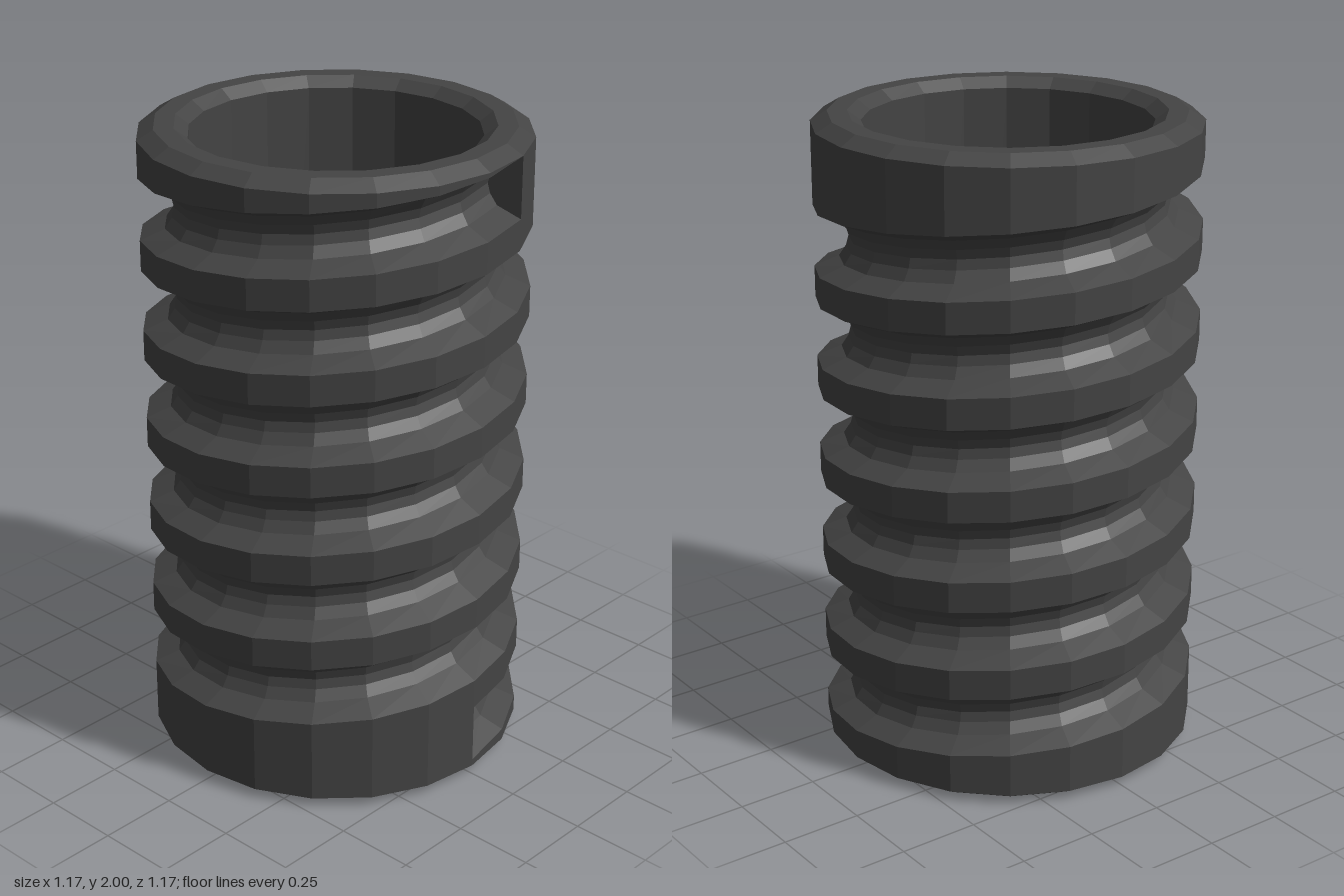
import * as THREE from 'three';

const SIDES = 20, PITCH = 2 / 7, TURNS = 6;
const R = 0.585;
const START = Math.PI / 2;      // angle where the groove begins, measured from the front
const START_Y = 0.147;          // groove centre height at its beginning
// groove cross-section: [radius, height offset], bottom to top
const HALF = [[R, 0.095], [0.51, 0.063], [0.488, 0.03]];
const GROOVE = [...HALF.map(([r, h]) => [r, -h]), [0.48, 0], ...HALF.slice().reverse()];

const point = (step, [r, y]) => {
  const t = START + (step / SIDES) * Math.PI * 2;
  return [r * Math.sin(t), y, r * Math.cos(t)];
};

// groove section on turn k at an angular step
const grooveAt = (k, step) =>
  GROOVE.map(([r, h]) => [r, START_Y + PITCH * (k + step / SIDES) + h]);

// closed wall section: bottom chamfers, threaded outside, top chamfers, bore
function wallSection(step, grooveCount) {
  const section = [[0.435, 0.03], [0.475, 0], [0.535, 0], [R, 0.03]];
  for (let k = 0; k < grooveCount; k++) section.push(...grooveAt(k, step));
  section.push([R, 1.97], [0.535, 2], [0.475, 2], [0.435, 1.97]);
  return section;
}

function threadedSleeveGeometry() {
  const pos = [];
  const tri = (a, b, c) => pos.push(...a, ...b, ...c);

  // one strip per side; the first side carries the run-out of the groove
  for (let j = 0; j < SIDES; j++) {
    const count = j === 0 ? TURNS + 1 : TURNS;
    const near = wallSection(j, count).map((p) => point(j, p));
    const far = wallSection(j + 1, count).map((p) => point(j + 1, p));
    for (let i = 0; i < near.length; i++) {
      const n = (i + 1) % near.length;
      tri(near[i], far[i], far[n]);
      tri(near[i], far[n], near[n]);
    }
  }

  // flat walls closing both ends of the groove
  const first = grooveAt(0, 0).map((p) => point(0, p));
  const last = grooveAt(TURNS, 1).map((p) => point(1, p));
  for (let i = 1; i < GROOVE.length - 1; i++) {
    tri(first[0], first[i], first[i + 1]);
    tri(last[0], last[i + 1], last[i]);
  }

  const geometry = new THREE.BufferGeometry();
  geometry.setAttribute('position', new THREE.Float32BufferAttribute(pos, 3));
  geometry.computeVertexNormals();
  return geometry;
}

export function createModel() {
  const group = new THREE.Group();
  group.name = 'threadedInsert';
  const material = new THREE.MeshStandardMaterial({ color: 0x444444, flatShading: true });
  const sleeve = new THREE.Mesh(threadedSleeveGeometry(), material);
  sleeve.name = 'threadedSleeve';
  group.add(sleeve);
  return group;
}
